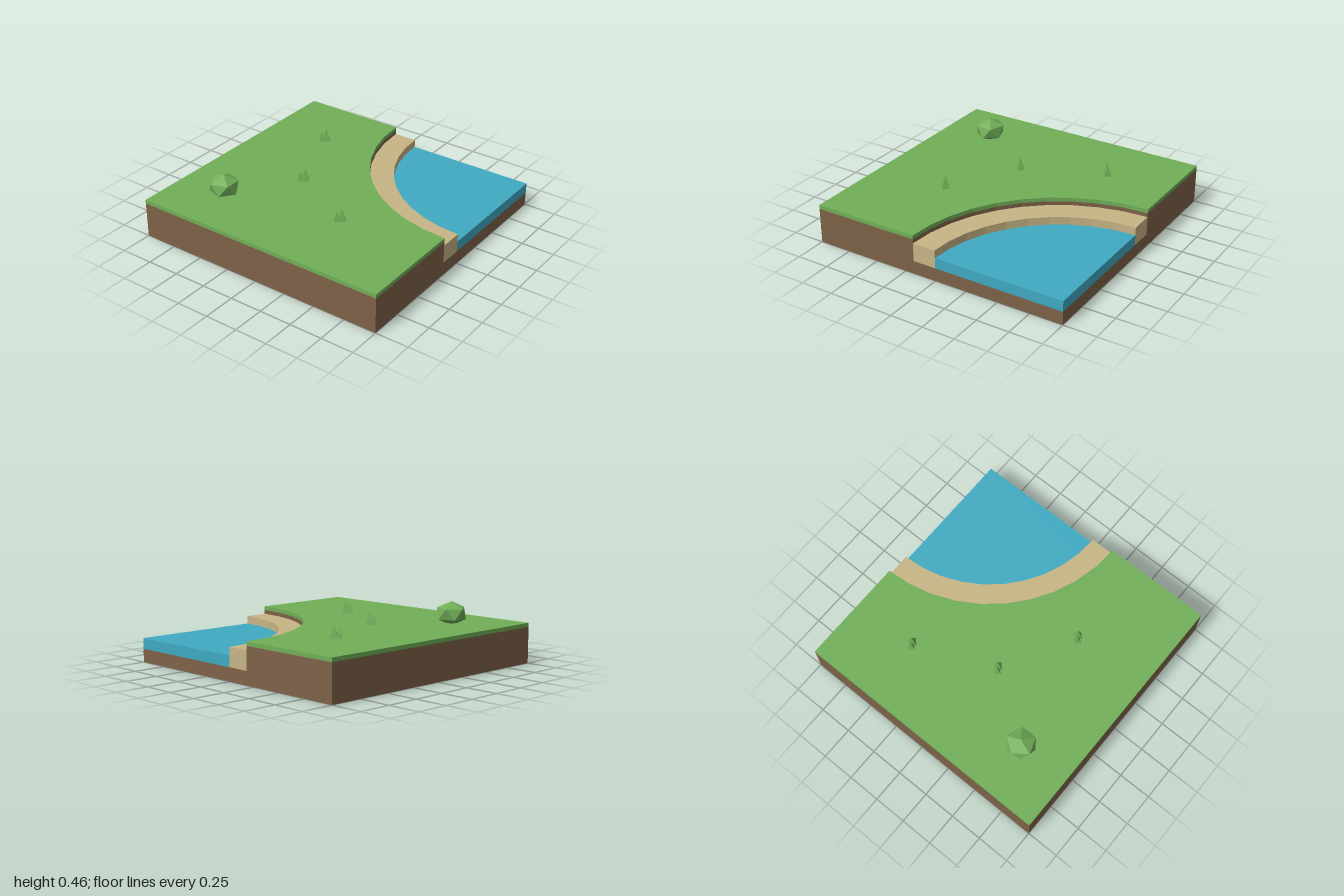
import * as THREE from 'three';

const mat = (name, color, extra = {}) => {
  const m = new THREE.MeshStandardMaterial({ color, ...extra });
  m.name = name;
  return m;
};

// Points of the quarter arc around the pond corner (shape y is -z)
function arc(radius, steps = 10) {
  const points = [];
  for (let i = 0; i <= steps; i++) {
    const a = Math.PI * (1 + 0.5 * i / steps);
    points.push(new THREE.Vector2(1 + radius * Math.cos(a), 1 + radius * Math.sin(a)));
  }
  return points;
}

export function createModel() {
  const group = new THREE.Group();
  const earth = mat('earth', 0x7e6248);
  const grass = mat('grass', 0x71af58, { flatShading: true });
  const sand = mat('sand', 0xc8b586);
  const water = mat('water', 0x40aac2);

  const add = (name, geometry, material, parent = group) => {
    const mesh = new THREE.Mesh(geometry, material);
    mesh.name = name;
    parent.add(mesh);
    return mesh;
  };

  // Flat outline raised from bottom to top
  const layer = (name, points, bottom, top, material) => {
    const geometry = new THREE.ExtrudeGeometry(new THREE.Shape(points), {
      depth: top - bottom, bevelEnabled: false,
    });
    geometry.rotateX(-Math.PI / 2).translate(0, bottom, 0);
    return add(name, geometry, material);
  };

  const v = (x, y) => new THREE.Vector2(x, y);
  const bank = 1.18, shore = 1;
  const land = [v(-1, 1), v(-1, -1), v(1, -1), ...arc(bank).reverse()];

  // Ground layers
  add('groundSlab', new THREE.BoxGeometry(2, 0.1, 2).translate(0, 0.05, 0), earth);
  layer('upperEarth', land, 0.1, 0.27, earth);
  layer('grassTop', land, 0.27, 0.3, grass);

  // Beach and pond
  layer('beach', [...arc(bank), ...arc(shore).reverse()], 0.1, 0.24, sand);
  layer('pond', [v(1, 1), ...arc(shore)], 0.1, 0.18, water);

  // Bush: squashed icosahedron standing on one point
  const bush = new THREE.IcosahedronGeometry(0.12, 0);
  bush.rotateZ(Math.atan2(1, (1 + Math.sqrt(5)) / 2)).scale(1, 0.75, 1);
  add('bush', bush, grass).position.set(-0.6, 0.37, 0.6);

  // Grass tufts: a tall and a short four-sided blade
  for (const [x, z] of [[-0.5, -0.5], [-0.25, 0.1], [0.3, 0.4]]) {
    const tuft = new THREE.Group();
    tuft.name = 'grassTuft';
    tuft.position.set(x, 0.3, z);
    add('tallBlade', new THREE.ConeGeometry(0.04, 0.1, 4), grass, tuft).position.y = 0.05;
    add('shortBlade', new THREE.ConeGeometry(0.03, 0.075, 4), grass, tuft).position.set(-0.03, 0.0375, 0.02);
    group.add(tuft);
  }
  return group;
}
